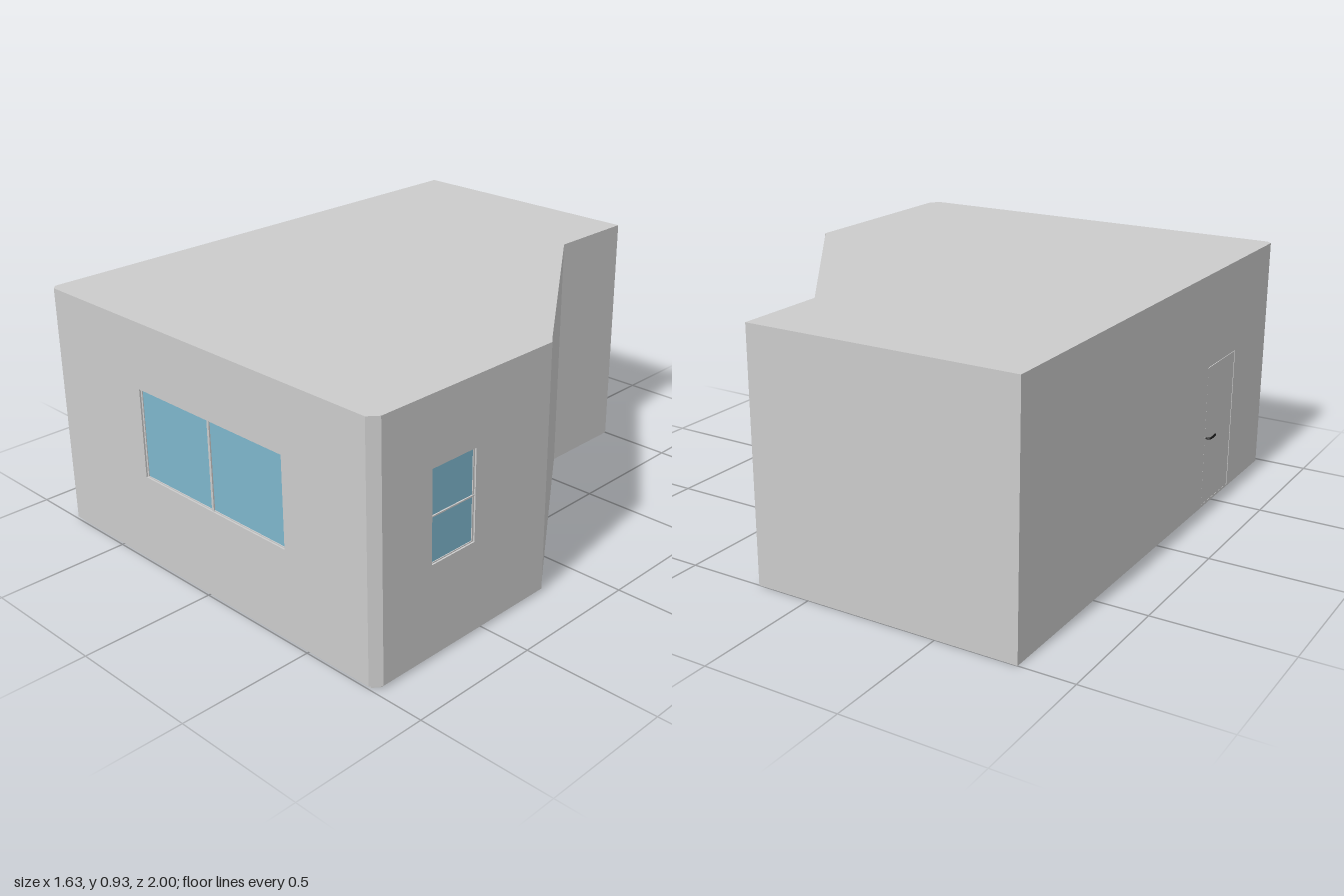
import * as THREE from 'three';

const mat = (color) => new THREE.MeshStandardMaterial({ color });
const wallMat = mat(0xcccccc);
const frameMat = mat(0xcccccc);
const glassMat = mat(0x7eb6cc);
const reveal = mat(0x7a5c48);
const black = mat(0x151515);

const SILL = 0.345, HEAD = 0.678, TOP = 0.925, DOOR_TOP = 0.565, BASE = 0.01;
const DEPTH = 0.012;                         // depth of the openings
const FRONT = { a: -0.31, b: 0.41 };         // front window, along x
const SIDE = { a: 0.55, b: 0.75 };           // side window, along z
const DOOR = { a: 0.40, b: 0.66 };           // door, along z

// Floor plan as [x, z], notched where an opening crosses the layer
function plan(windows, door) {
  const p = [[-0.8, -1], [0.21, -1], [0.21, -0.645], [0.79, 0.165], [0.81, 0.19]];
  const d = DEPTH;
  if (windows) p.push([0.81, SIDE.a], [0.81 - d, SIDE.a], [0.81 - d, SIDE.b], [0.81, SIDE.b]);
  p.push([0.81, 0.965], [0.78, 1]);
  if (windows) p.push([FRONT.b, 1], [FRONT.b, 1 - d], [FRONT.a, 1 - d], [FRONT.a, 1]);
  p.push([-0.78, 1], [-0.8, 0.98]);
  if (door) p.push([-0.8, DOOR.b], [-0.8 + d, DOOR.b], [-0.8 + d, DOOR.a], [-0.8, DOOR.a]);
  return p;
}

// Upright prism over a floor plan
function prism(points, y0, y1) {
  const shape = new THREE.Shape(points.map(([x, z]) => new THREE.Vector2(x, -z)));
  const geo = new THREE.ExtrudeGeometry(shape, { depth: y1 - y0, bevelEnabled: false });
  return geo.rotateX(-Math.PI / 2).translate(0, y0, 0);
}

function add(parent, name, geo, material) {
  const mesh = new THREE.Mesh(geo, material);
  mesh.name = name;
  parent.add(mesh);
  return mesh;
}

function box(parent, name, w, h, d, x, y, z, material) {
  return add(parent, name, new THREE.BoxGeometry(w, h, d).translate(x, y, z), material);
}

// Framed window lying in the xy plane, facing +z, centred on the origin
function makeWindow(name, w, h, split) {
  const g = new THREE.Group();
  g.name = name;
  const t = 0.007, d = 0.006;
  box(g, 'glass', w, h, 0.003, 0, 0, 0.0015, glassMat);
  for (const s of [-1, 1]) {
    box(g, 'frameStile', t, h, d, s * (w - t) / 2, 0, d / 2, frameMat);
    box(g, 'frameRail', w, 0.004, d, 0, s * (h - 0.004) / 2, d / 2, frameMat);
  }
  if (split === 'vertical') box(g, 'mullion', 0.01, h, 0.008, 0, 0, 0.004, frameMat);
  else box(g, 'meetingRail', w, 0.005, 0.008, 0, 0, 0.004, frameMat);
  return g;
}

export function createModel() {
  const model = new THREE.Group();
  model.name = 'room';

  // Walls and roof, stacked in layers between the opening heights
  const walls = new THREE.Group();
  walls.name = 'walls';
  model.add(walls);
  [[BASE, SILL, false, true], [SILL, DOOR_TOP, true, true],
    [DOOR_TOP, HEAD, true, false], [HEAD, TOP, false, false]].forEach(([y0, y1, win, door]) => {
    add(walls, 'wallLayer', prism(plan(win, door), y0, y1), wallMat);
  });

  // Floor slab, set in slightly under the front and side walls
  add(model, 'floor', prism([[-0.8, -1], [0.21, -1], [0.21, -0.645], [0.8, 0.185],
    [0.8, 0.965], [0.78, 0.99], [-0.78, 0.99], [-0.8, 0.98]], 0, BASE), wallMat);

  // Windows
  const h = HEAD - SILL, midY = (HEAD + SILL) / 2;
  const front = makeWindow('frontWindow', FRONT.b - FRONT.a, h, 'vertical');
  front.position.set((FRONT.a + FRONT.b) / 2, midY, 1 - DEPTH);
  const side = makeWindow('sideWindow', SIDE.b - SIDE.a, h, 'horizontal');
  side.position.set(0.81 - DEPTH, midY, (SIDE.a + SIDE.b) / 2);
  side.rotation.y = Math.PI / 2;
  model.add(front, side);

  // Door leaf with a narrow gap around it
  const door = new THREE.Group();
  door.name = 'door';
  model.add(door);
  const gap = 0.003, dz = (DOOR.a + DOOR.b) / 2, dw = DOOR.b - DOOR.a;
  const backX = -0.8 + DEPTH, dh = DOOR_TOP - BASE;
  box(door, 'doorReveal', 0.002, dh, dw, backX - 0.001, BASE + dh / 2, dz, reveal);
  box(door, 'doorLeaf', DEPTH - 0.001, dh - gap, dw - 2 * gap,
    backX - (DEPTH - 0.001) / 2, BASE + (dh - gap) / 2, dz, wallMat);

  // Lever handle
  const path = new THREE.CatmullRomCurve3([
    [-0.797, 0.28, 0.416], [-0.81, 0.28, 0.416], [-0.814, 0.28, 0.422], [-0.814, 0.28, 0.47],
  ].map((p) => new THREE.Vector3(...p)), false, 'centripetal');
  add(door, 'doorHandle', new THREE.TubeGeometry(path, 16, 0.004, 8), black);
  add(door, 'handleTip', new THREE.SphereGeometry(0.004, 8, 6).translate(-0.814, 0.28, 0.47), black);

  return model;
}
